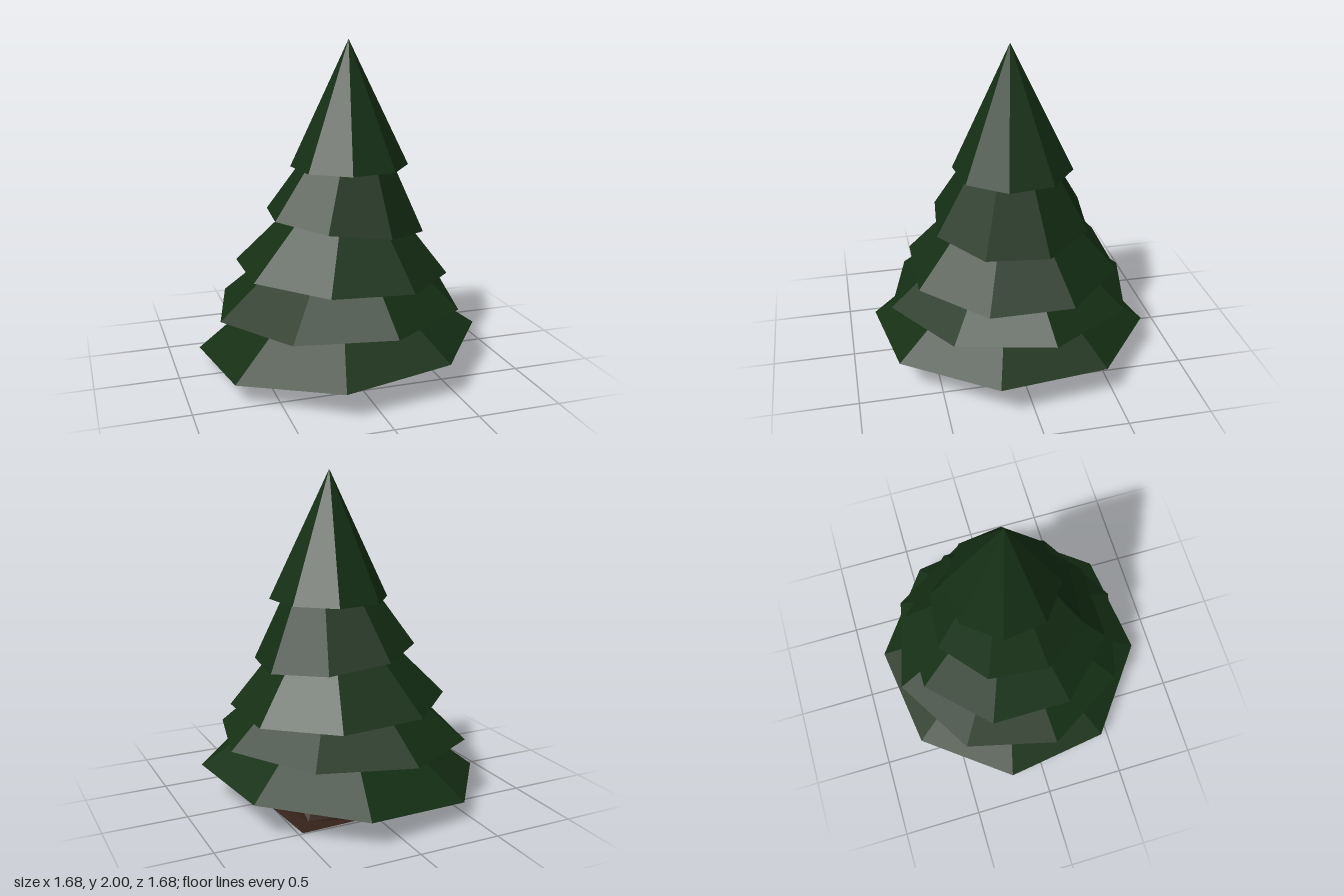
import * as THREE from 'three';

const SIDES = 8;
const green = new THREE.MeshStandardMaterial({ color: 0x152f14, flatShading: true });
const brown = new THREE.MeshStandardMaterial({ color: 0x311f14, flatShading: true });

const lathe = (points, turn = 0) => new THREE.LatheGeometry(
  points.map(([r, y]) => new THREE.Vector2(r, y)), SIDES, -THREE.MathUtils.degToRad(turn));

// Leaning cone with a recessed underside: rim centre and radius, apex,
// rotation in degrees, rim slope along x and z, and inner share of the underside.
function tierGeometry({ base, radius, apex, turn, slope, inner }) {
  const [cx, cy, cz] = base, [ax, ay, az] = apex, [sx, sz] = slope;
  const recess = 0.075 / (ay - cy);
  const geo = lathe([[0, recess], [inner, recess], [1, 0], [0, 1]], turn);
  geo.applyMatrix4(new THREE.Matrix4().set(
    radius, ax - cx, 0, cx,
    sx * radius, ay - cy, sz * radius, cy,
    0, az - cz, radius, cz,
    0, 0, 0, 1));
  return geo;
}

// Trunk whose lower two rings reach out unevenly at the back
function trunkGeometry() {
  const profile = [[0, 0], [0.475, 0], [0.445, 0.03], [0.385, 0.2], [0.36, 0.29], [0, 0.29]];
  const reach = [[1, 1, 1, 1.31, 0.89, 1.16, 1, 1], [1, 1, 1, 1.2, 0.93, 1.05, 1, 1]];
  const geo = lathe(profile);
  const pos = geo.attributes.position;
  for (let i = 0; i <= SIDES; i++) {
    reach.forEach((ring, j) => {
      const v = i * profile.length + 1 + j, k = ring[i % SIDES];
      pos.setX(v, pos.getX(v) * k);
      pos.setZ(v, pos.getZ(v) * k);
    });
  }
  return geo;
}

export function createModel() {
  const tree = new THREE.Group();
  tree.name = 'pineTree';

  // Branch tiers, lowest first
  const tiers = [
    { base: [0, 0.158, 0], radius: 0.866, apex: [0.02, 0.78, 0], turn: 14.3, slope: [0.072, 0.02], inner: 0.42 },
    { base: [0.002, 0.393, -0.01], radius: 0.77, apex: [0.04, 1.06, 0], turn: -9, slope: [0.027, 0], inner: 0.6 },
    { base: [0.028, 0.606, -0.015], radius: 0.658, apex: [0.08, 1.34, 0], turn: 22.5, slope: [-0.046, 0], inner: 0.68 },
    { base: [0.046, 0.907, -0.005], radius: 0.488, apex: [0.13, 1.74, 0], turn: 28.5, slope: [-0.12, 0], inner: 0.7 },
    { base: [0.083, 1.243, -0.013], radius: 0.359, apex: [0.072, 2, 0], turn: 15, slope: [0.01, 0], inner: 0.74 },
  ];
  tiers.forEach((tier, i) => {
    const mesh = new THREE.Mesh(tierGeometry(tier), green);
    mesh.name = `branchTier${i + 1}`;
    tree.add(mesh);
  });

  // Trunk with a flare at the ground
  const trunk = new THREE.Mesh(trunkGeometry(), brown);
  trunk.name = 'trunk';
  trunk.position.set(0.033, 0, -0.052);
  tree.add(trunk);

  return tree;
}
